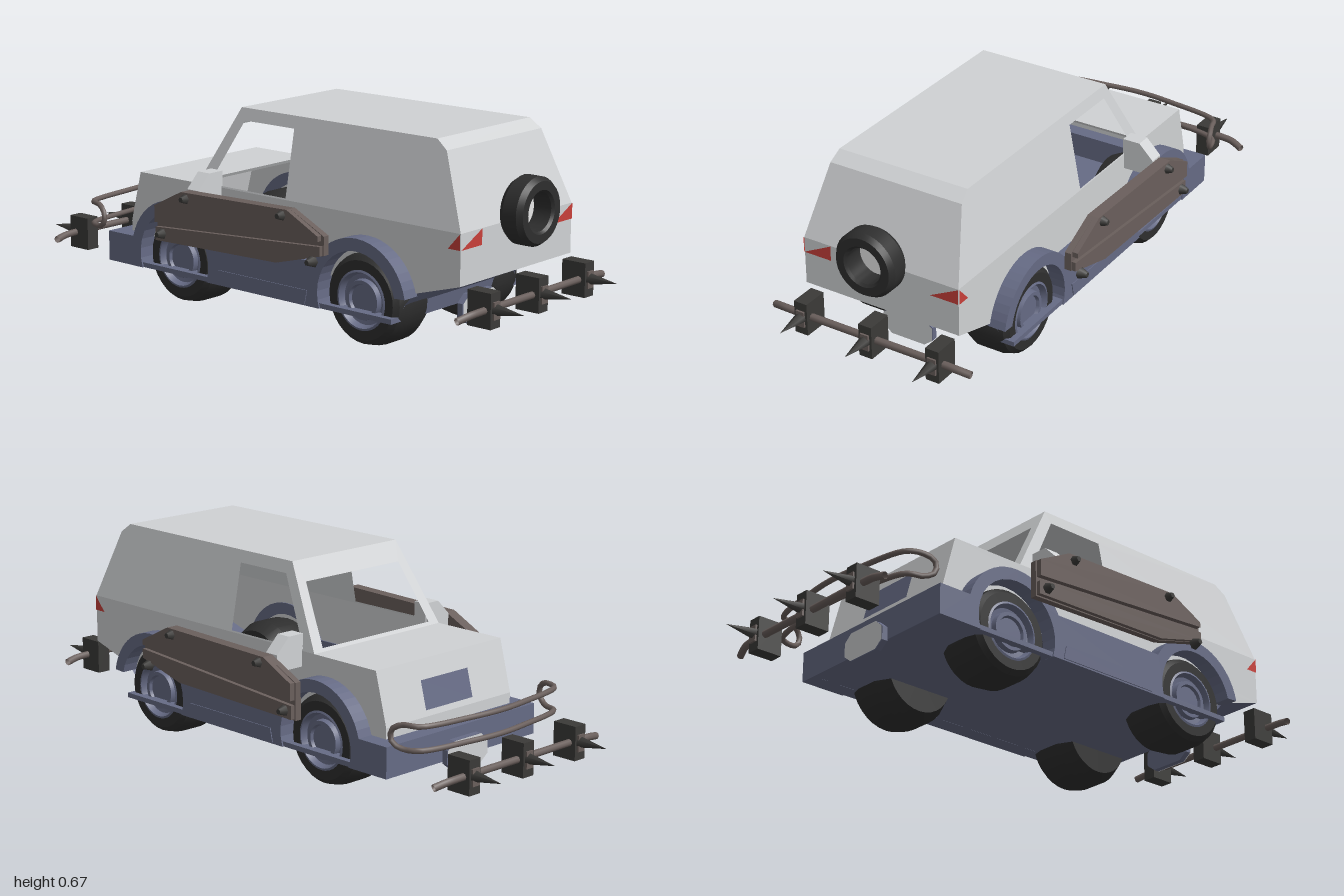
import * as THREE from 'three';
import { toCreasedNormals } from 'three/addons/utils/BufferGeometryUtils.js';

export function createModel() {
  const root = new THREE.Group();
  const mat = (name, color, side = THREE.DoubleSide) =>
    new THREE.MeshStandardMaterial({ name, color, side });
  const paint = mat('bodyPaint', 0xd0d2d4);
  const blue = mat('chassisBlue', 0x666b85);
  const rubber = mat('tyreRubber', 0x2e2e2e);
  const rust = mat('rustyMetal', 0x6a5f5c);
  const iron = mat('darkIron', 0x3b3a38);
  const red = mat('lampRed', 0xc8403a);
  const white = mat('spareCentre', 0xf2f2f2);

  const add = (name, geo, material, parent = root) => {
    const m = new THREE.Mesh(geo, material);
    m.name = name;
    parent.add(m);
    return m;
  };
  const poly = (pts) => new THREE.Shape(pts.map((p) => new THREE.Vector2(p[0], p[1])));
  const box = (name, x, y, z, w, h, d, material, parent) => {
    const g = new THREE.BoxGeometry(w, h, d);
    g.translate(x, y, z);
    return add(name, g, material, parent);
  };
  // Extrude a (z, y) outline sideways from x0 to x1
  const slab = (shape, x0, x1) => {
    const g = new THREE.ExtrudeGeometry(shape, { depth: x1 - x0, bevelEnabled: false, curveSegments: 20 });
    g.rotateY(-Math.PI / 2);
    g.translate(x1, 0, 0);
    return g;
  };
  const sideSlab = (name, shape, a, b, s, material) =>
    add(name, s > 0 ? slab(shape, a, b) : slab(shape, -b, -a), material);
  // Flat shape moved onto a plane by a rule
  const sheet = (shape, rule) => {
    const g = new THREE.ShapeGeometry(shape);
    const p = g.attributes.position;
    for (let i = 0; i < p.count; i++) p.setXYZ(i, ...rule(p.getX(i), p.getY(i)));
    g.computeVertexNormals();
    return g;
  };
  const halfWidth = (y) => 0.28 - 0.05 * Math.max(0, (y - 0.41) / 0.26);
  // Panel across the car between two (z, y) profile points
  const across = (name, a, b, material) => {
    const wa = halfWidth(a[1]), wb = halfWidth(b[1]);
    return add(name, sheet(poly([[-1, 0], [1, 0], [1, 1], [-1, 1]]), (u, t) => [
      u * (wa + (wb - wa) * t), a[1] + (b[1] - a[1]) * t, a[0] + (b[0] - a[0]) * t]), material);
  };

  // Body shell panels
  const rear = [[0.8, 0.25], [0.8, 0.41], [0.71, 0.64], [0.67, 0.67], [-0.12, 0.67]];
  ['tailgate', 'rearSlope', 'roofEdge', 'roof'].forEach((n, i) => across(n, rear[i], rear[i + 1], paint));
  across('hood', [-0.27, 0.41], [-0.535, 0.41], paint);
  across('nose', [-0.535, 0.41], [-0.58, 0.24], paint);
  across('noseLower', [-0.58, 0.24], [-0.58, 0.2], paint);

  // Windscreen frame with its opening
  const frame = poly([[-0.28, 0], [0.28, 0], [0.23, 1], [-0.23, 1]]);
  frame.holes.push(poly([[-0.238, 0.04], [-0.206, 0.76], [0.206, 0.76], [0.238, 0.04]]));
  add('windscreenFrame', sheet(frame, (x, t) => [x, 0.41 + 0.26 * t, -0.27 + 0.15 * t]), paint);

  // Underside slope at the tail
  const tail = [[0.8, 0.25], [0.63, 0.2], [0.59, 0.155], [0.58, 0.105]];
  for (let i = 0; i < 3; i++) across('tailUnderside', tail[i], tail[i + 1], blue);

  const arc = (cz, r, from, to, n = 18) => Array.from({ length: n + 1 }, (_, i) => {
    const a = THREE.MathUtils.degToRad(from + ((to - from) * i) / n);
    return [cz + r * Math.cos(a), 0.155 + r * Math.sin(a)];
  });
  const RW = 0.445, FW = -0.33;
  const fender = poly([
    ...arc(RW, 0.195, 11, 151), ...arc(FW, 0.195, 29, 165),
    [-0.635, 0.205], [-0.635, 0.105],
    ...arc(FW, 0.155, 199, -19), ...arc(RW, 0.155, 199, 13),
  ]);
  const lowerSide = poly([[0.8, 0.25], [0.8, 0.41], [-0.535, 0.41], [-0.58, 0.24], [-0.58, 0.2], [0.63, 0.2]]);
  const upperSide = poly([[0.8, 0.41], [0.71, 0.64], [0.67, 0.67], [-0.12, 0.67], [-0.27, 0.41]]);
  upperSide.holes.push(poly([[0.11, 0.415], [0.11, 0.63], [-0.1, 0.63], [-0.22, 0.415]]));
  const mirror = poly([[0.275, 0.36], [0.385, 0.36], [0.385, 0.415], [0.335, 0.465], [0.275, 0.465]]);
  const armour = poly([[0.385, 0.3], [0.385, 0.36], [0.25, 0.425], [-0.2, 0.415], [-0.325, 0.355], [-0.325, 0.235], [0.2, 0.25]]);
  const armourTop = poly([[0.375, 0.345], [0.375, 0.362], [0.25, 0.425], [-0.2, 0.415], [-0.32, 0.355], [-0.32, 0.3]]);
  const armourLow = poly([[0.38, 0.3], [0.38, 0.33], [-0.32, 0.284], [-0.32, 0.24], [0.2, 0.252]]);

  // Tyre and rim profiles, as radius and distance along the axle
  const turned = (pts, s) => {
    const g = new THREE.LatheGeometry(pts.map((p) => new THREE.Vector2(p[0], p[1])), 32);
    g.rotateZ((-s * Math.PI) / 2);
    return toCreasedNormals(g, 0.45);
  };
  const tyre = [[0, -0.092], [0.125, -0.092], [0.15, -0.04], [0.15, 0.038], [0.14, 0.075], [0.125, 0.09], [0.095, 0.09]];
  const rim = [[0.097, 0.088], [0.088, 0.092], [0.08, 0.072], [0.065, 0.07], [0.062, 0.088], [0.05, 0.088], [0.046, 0.078], [0, 0.078]];

  for (const s of [1, -1]) {
    const side = s > 0 ? 'left' : 'right';
    add(side + 'LowerSide', sheet(lowerSide, (z, y) => [s * 0.28, y, z]), paint);
    add(side + 'UpperSide', sheet(upperSide, (z, y) => [s * halfWidth(y), y, z]), paint);
    sideSlab(side + 'Fender', fender, 0.275, 0.335, s, blue);
    // Sill step
    sideSlab(side + 'SillStep', poly([[0.25, 0.155], [0.24, 0.11], [-0.14, 0.11], [-0.13, 0.155]]), 0.33, 0.338, s, blue);

    // Door mirror
    const mg = new THREE.ExtrudeGeometry(mirror, { depth: 0.05, bevelEnabled: false });
    if (s < 0) mg.rotateY(Math.PI);
    mg.translate(0, 0, s > 0 ? -0.215 : -0.165);
    add(side + 'Mirror', mg, paint);

    // Bolted armour plates
    sideSlab(side + 'ArmourBase', armour, 0.39, 0.412, s, rust);
    sideSlab(side + 'ArmourUpper', armourTop, 0.412, 0.43, s, rust);
    sideSlab(side + 'ArmourLower', armourLow, 0.412, 0.426, s, rust);
    for (const [z, y] of [[0.23, 0.405], [0.35, 0.28], [-0.18, 0.395], [-0.29, 0.265]]) {
      const g = new THREE.CylinderGeometry(0.009, 0.02, 0.03, 6);
      g.rotateZ((-s * Math.PI) / 2);
      g.translate(s * 0.436, y, z);
      add(side + 'ArmourBolt', g, iron);
    }

    // Road wheels
    for (const z of [RW, FW]) {
      const wheel = new THREE.Group();
      wheel.name = side + (z > 0 ? 'RearWheel' : 'FrontWheel');
      wheel.position.set(s * 0.219, 0.152, z);
      root.add(wheel);
      add('tyre', turned(tyre, s), rubber, wheel);
      add('rim', turned(rim, s), blue, wheel);
    }

    // Tail lamps: same slant on both sides at the rear, wrapping round the flank
    const x0 = s > 0 ? 0.18 : -0.28;
    add(side + 'TailLamp', sheet(poly([[x0, 0.36], [x0 + 0.1, 0.36], [x0 + 0.1, 0.41]]), (x, y) => [x, y, 0.803]), red);
    add(side + 'SideLamp', sheet(poly([[0.8, 0.36], [0.8, 0.41], [0.755, 0.36]]), (z, y) => [s * 0.283, y, z]), red);
  }

  // Chassis floor and front apron
  box('floor', 0, 0.113, -0.0275, 0.66, 0.016, 1.215, blue);
  add('frontApron', slab(poly([[-0.53, 0.105], [-0.53, 0.205], [-0.635, 0.205], [-0.635, 0.105]]), -0.3, 0.3), blue);

  // Grille on the sloping nose
  add('grille', sheet(poly([[-0.105, 0.26], [0.105, 0.26], [0.105, 0.35], [-0.105, 0.35]]),
    (x, y) => [x, y, -0.584 + ((y - 0.24) / 0.17) * 0.045]), blue);

  // Octagonal hanging plates, front and rear
  const oct = poly([[-0.09, 0.09], [-0.06, 0.067], [0.06, 0.067], [0.09, 0.09], [0.09, 0.135], [0.06, 0.16], [-0.06, 0.16], [-0.09, 0.135]]);
  for (const [name, z, s, dy] of [['rearPlate', 0.645, 1, 0], ['frontPlate', -0.635, -1, 0.01]]) {
    const g = new THREE.ExtrudeGeometry(oct, { depth: 0.02, bevelEnabled: false });
    if (s < 0) g.rotateY(Math.PI);
    g.translate(0, dy, z);
    add(name, g, blue);
    add(name + 'Face', sheet(oct, (x, y) => [x, y + dy, z + s * 0.023]), paint);
  }

  // Spare wheel
  const spare = new THREE.LatheGeometry([[0.06, -0.035], [0.095, -0.042], [0.107, -0.025], [0.107, 0.025], [0.095, 0.042],
    [0.068, 0.042], [0.06, 0.034], [0.06, -0.035]].map((p) => new THREE.Vector2(...p)), 36);
  spare.rotateX(Math.PI / 2);
  spare.translate(0, 0.44, 0.845);
  add('spareTyre', toCreasedNormals(spare, 0.6), rubber);
  const disc = new THREE.CircleGeometry(0.061, 32);
  disc.translate(0, 0.44, 0.815);
  add('spareCentre', disc, white);

  const tube = (name, pts, r, closed, parent) => add(name, new THREE.TubeGeometry(
    new THREE.CatmullRomCurve3(pts.map((p) => new THREE.Vector3(...p)), closed, 'centripetal'), 80, r, 8, closed), rust, parent);

  // Looped bull bar
  const run = [[-0.325, -0.69], [-0.305, -0.74], [-0.12, -0.778], [0, -0.788], [0.12, -0.778], [0.305, -0.74], [0.325, -0.69]];
  tube('bullBar', [
    ...run.map(([x, z]) => [x, 0.285, z]), [0.336, 0.27, -0.66], [0.337, 0.248, -0.652], [0.336, 0.226, -0.66],
    ...run.slice().reverse().map(([x, z]) => [x, 0.211, z]), [-0.336, 0.226, -0.66], [-0.337, 0.248, -0.652], [-0.336, 0.27, -0.66],
  ], 0.009, true);

  // Spiked ram bars at both ends
  for (const front of [false, true]) {
    const ram = new THREE.Group();
    ram.name = front ? 'frontRamBar' : 'rearRamBar';
    if (front) {
      ram.rotation.y = Math.PI;
      ram.position.y = -0.035;
    }
    root.add(ram);
    tube('bar', [[-0.363, 0.172, 0.853], [-0.32, 0.183, 0.867], [-0.28, 0.186, 0.871], [0, 0.186, 0.871],
      [0.28, 0.186, 0.871], [0.32, 0.184, 0.87], [0.363, 0.177, 0.863]], 0.012, false, ram);
    for (const x of [-0.233, 0.006, 0.247]) {
      box('clamp', x, 0.187, 0.853, 0.047, 0.11, 0.086, iron, ram);
      box('clampFace', x, 0.187, 0.898, 0.03, 0.054, 0.009, rust, ram);
      const spike = new THREE.ConeGeometry(0.019, 0.105, 6);
      spike.rotateX(Math.PI / 2);
      spike.translate(x, 0.19, 0.9475);
      add('spike', spike, iron, ram);
    }
  }
  return root;
}
